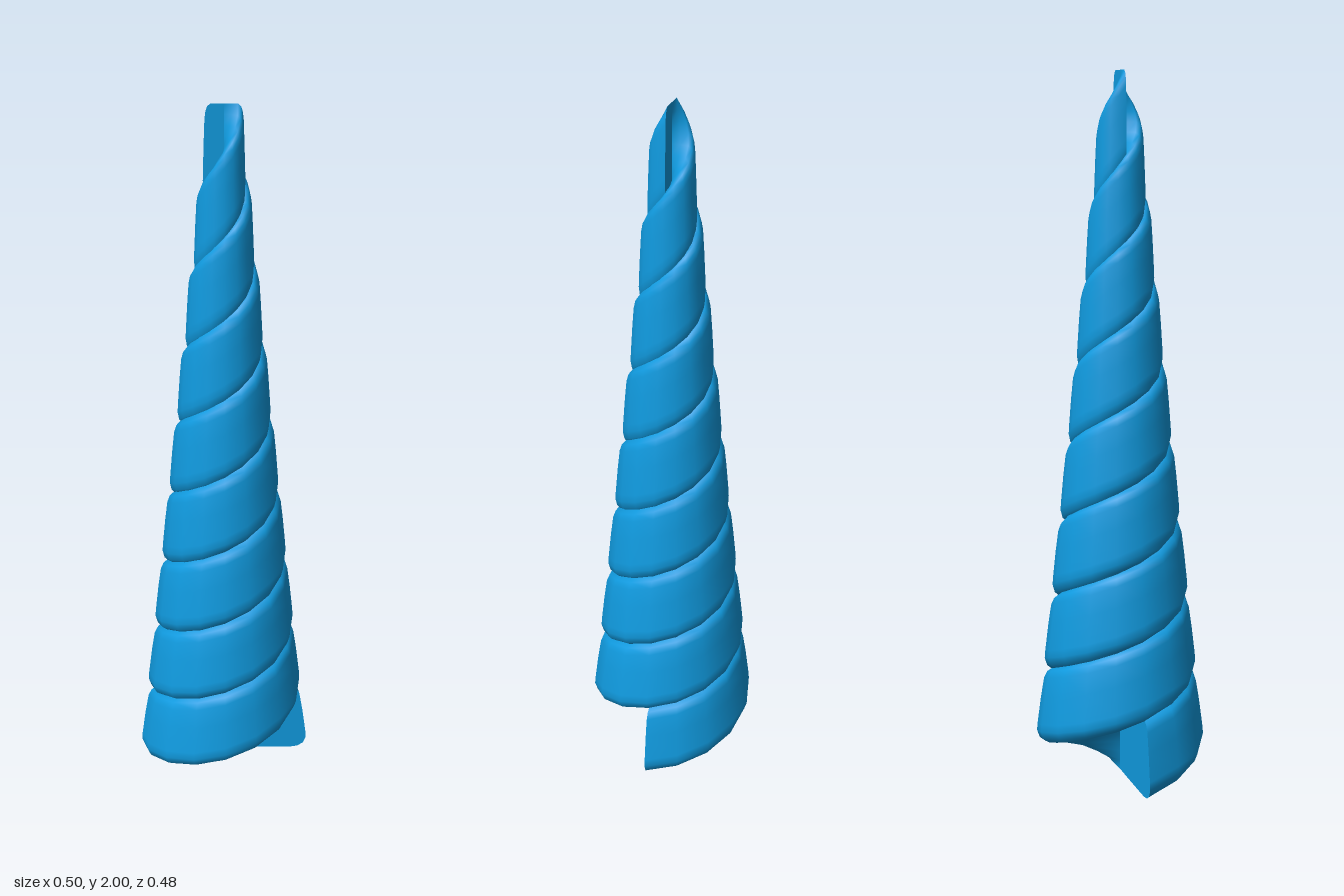
import * as THREE from 'three';

const TURNS = 4, STEPS = 16 * TURNS; // sixteen sections per turn
const RISE = 1.76, END_SCALE = 0.22;

// Strand cross-section (radius, height), from the axis along the underside and back over the top
const PROFILE = [
  [0, 0.005], [0.1, 0.002], [0.2, 0], [0.225, 0.004], [0.243, 0.016], [0.251, 0.038], [0.249, 0.06],
  [0.238, 0.14], [0.228, 0.198], [0.218, 0.218], [0.198, 0.232], [0.16, 0.24], [0.08, 0.24], [0, 0.24],
];

// Place a profile point at step i: turn about the axis, climb and taper
function place([r, h], i) {
  const t = i / STEPS, a = t * TURNS * Math.PI * 2;
  const s = r * (1 + (END_SCALE - 1) * t);
  return [-s * Math.cos(a), h + RISE * t, s * Math.sin(a)];
}

function strandGeometry() {
  const pos = [], index = [], n = PROFILE.length;

  // Swept skin
  for (let i = 0; i <= STEPS; i++) PROFILE.forEach(p => pos.push(...place(p, i)));
  for (let i = 0; i < STEPS; i++) {
    for (let j = 0; j < n - 1; j++) {
      const a = i * n + j, b = a + 1, c = a + n, d = c + 1;
      index.push(a, c, b, b, c, d);
    }
  }

  // Flat ends with their own vertices, so their edges stay sharp
  for (const i of [0, STEPS]) {
    const first = pos.length / 3;
    PROFILE.forEach(p => pos.push(...place(p, i)));
    for (let j = 1; j < n - 1; j++) {
      const b = first + j, c = b + 1;
      index.push(first, ...(i === 0 ? [b, c] : [c, b]));
    }
  }

  const geometry = new THREE.BufferGeometry();
  geometry.setAttribute('position', new THREE.Float32BufferAttribute(pos, 3));
  geometry.setIndex(index);
  geometry.computeVertexNormals();
  return geometry;
}

export function createModel() {
  const model = new THREE.Group();
  model.name = 'spiralHorn';
  const material = new THREE.MeshStandardMaterial({ color: 0x109be0 });
  const geometry = strandGeometry();

  // Two identical strands, half a turn apart
  ['rightStrand', 'leftStrand'].forEach((name, k) => {
    const strand = new THREE.Mesh(geometry, material);
    strand.name = name;
    strand.rotation.y = k * Math.PI;
    model.add(strand);
  });
  return model;
}
